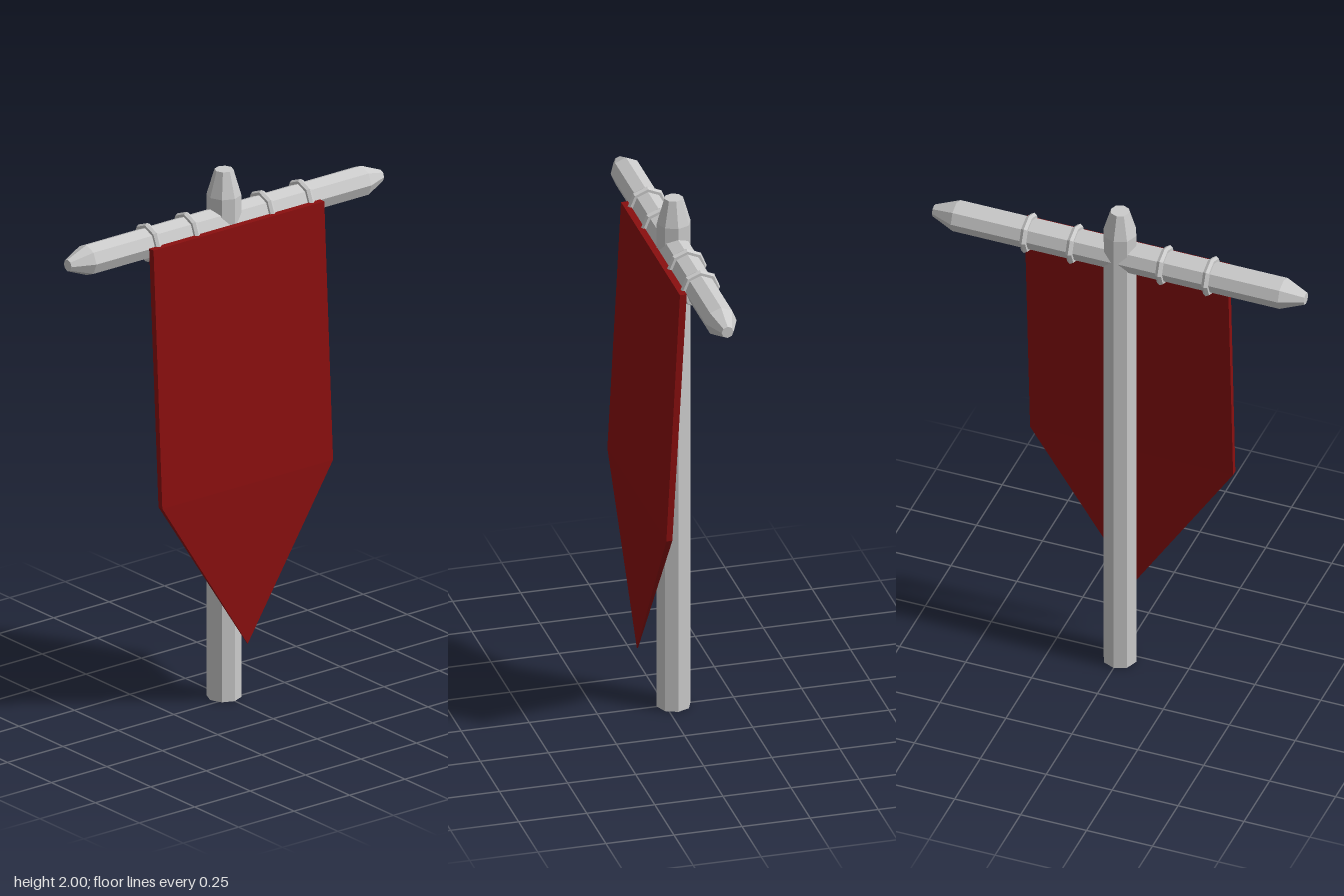
import * as THREE from 'three';

const POLE_X = -0.03;
const BAR_Y = 1.805;

const grey = new THREE.MeshStandardMaterial({ color: 0xcccccc, flatShading: true });
const red = new THREE.MeshStandardMaterial({ color: 0x8a0f0f, flatShading: true });

function addMesh(parent, name, geometry, material) {
  const mesh = new THREE.Mesh(geometry, material);
  mesh.name = name;
  parent.add(mesh);
  return mesh;
}

// Eight-sided post from [radius, height] pairs
function post(profile) {
  return new THREE.LatheGeometry(profile.map(([r, y]) => new THREE.Vector2(r, y)), 8);
}

// Pointed cloth slab: outline rows of [z, y, outer x, inner x]
function bannerGeometry() {
  const outline = [
    [0.385, 1.81, 0.055, 0.03],
    [0.385, 0.845, 0.105, 0.083],
    [0, 0.24, 0.105, 0.101],
    [-0.385, 0.845, 0.105, 0.083],
    [-0.385, 1.81, 0.055, 0.03],
  ];
  const n = outline.length;
  const positions = [
    ...outline.map(([z, y, outer]) => [outer, y, z]),
    ...outline.map(([z, y, , inner]) => [inner, y, z]),
  ].flat();
  const index = [];
  for (const [a, b, c] of [[0, 1, 3], [0, 3, 4], [1, 2, 3]]) {
    index.push(a, b, c, a + n, c + n, b + n);
  }
  for (let i = 0; i < n; i++) {
    const j = (i + 1) % n;
    index.push(i, i + n, j + n, i, j + n, j);
  }
  const geometry = new THREE.BufferGeometry();
  geometry.setAttribute('position', new THREE.Float32BufferAttribute(positions, 3));
  geometry.setIndex(index);
  const flat = geometry.toNonIndexed();
  flat.computeVertexNormals();
  return flat;
}

export function createModel() {
  const model = new THREE.Group();
  model.name = 'bannerStand';

  // Upright pole with a tapered top
  const pole = addMesh(model, 'pole',
    post([[0, 0], [0.062, 0], [0.062, 1.905], [0.034, 2], [0, 2]]), grey);
  pole.position.x = POLE_X;

  // Crossbar with tapered ends
  const bar = addMesh(model, 'crossbar',
    post([[0, -0.705], [0.022, -0.705], [0.057, -0.62], [0.057, 0.62], [0.022, 0.705], [0, 0.705]]), grey);
  bar.rotation.x = Math.PI / 2;
  bar.position.set(POLE_X, BAR_Y, 0);

  // Rings holding the cloth
  const ringGeometry = new THREE.TorusGeometry(0.061, 0.013, 6, 8);
  for (const z of [-0.345, -0.17, 0.17, 0.345]) {
    const ring = addMesh(model, 'ring', ringGeometry, grey);
    ring.position.set(POLE_X, BAR_Y, z);
  }

  // Hanging cloth
  addMesh(model, 'banner', bannerGeometry(), red);

  return model;
}
